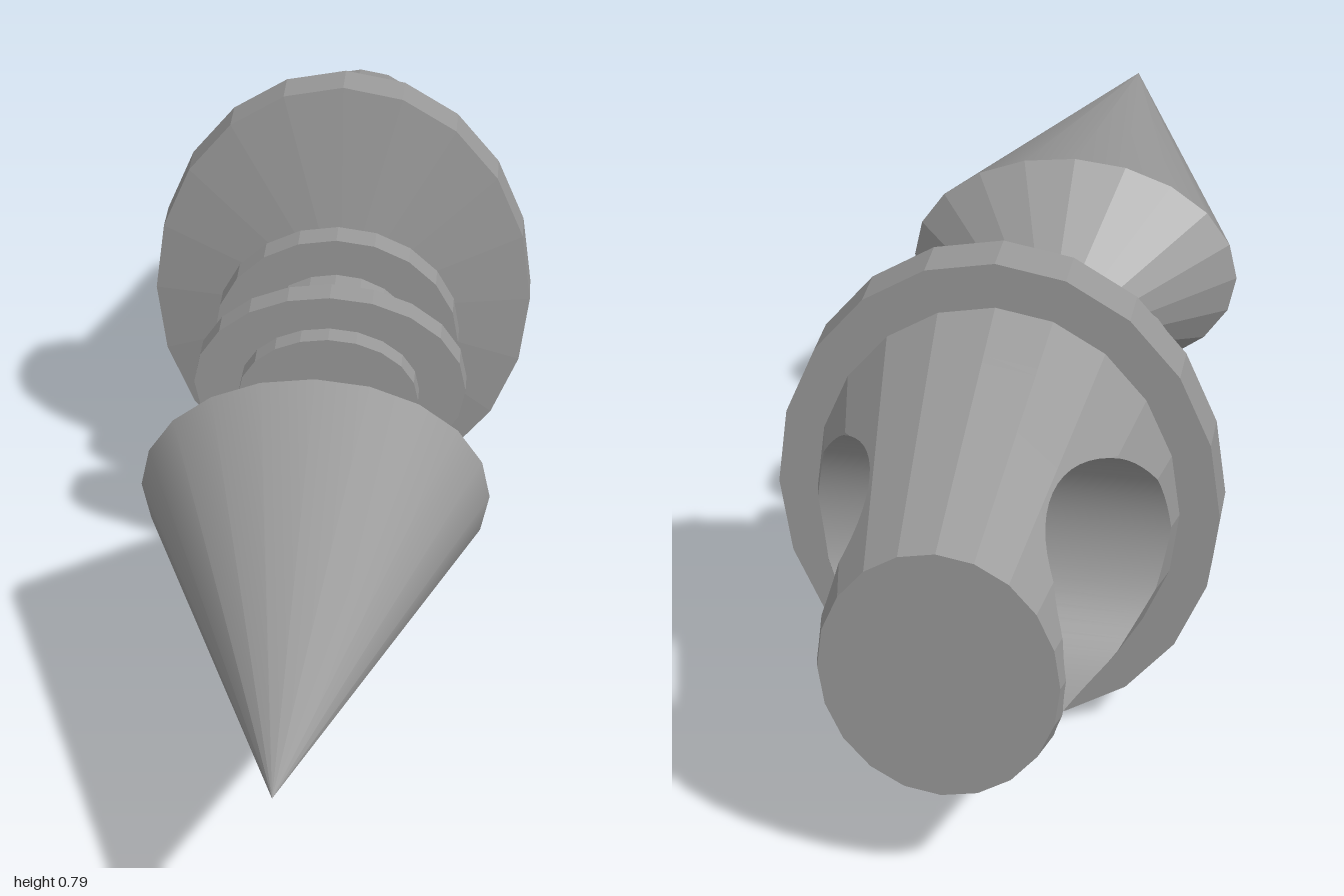
import * as THREE from 'three';

const SIDES = 20;
const AXIS_Y = 0.396;

export function createModel() {
  const group = new THREE.Group();
  const grey = new THREE.MeshStandardMaterial({ color: 0x999999 });
  grey.name = 'grey metal';

  const add = (name, geometry) => {
    const mesh = new THREE.Mesh(geometry, grey);
    mesh.name = name;
    mesh.position.y = AXIS_Y;
    group.add(mesh);
  };
  const flat = (geometry) => {
    const g = geometry.index ? geometry.toNonIndexed() : geometry;
    g.computeVertexNormals();
    return g;
  };

  // Elliptical section along z: ry0 at front z0, ry1 at back z1, widened by ratio in x
  const section = (name, z0, ry0, z1, ry1, ratio, smooth = false) => {
    const g = new THREE.CylinderGeometry(ry0, ry1, z0 - z1, SIDES, 1, ry0 === 0 || ry1 === 0);
    g.rotateX(Math.PI / 2);
    g.scale(ratio, 1, 1);
    g.translate(0, 0, (z0 + z1) / 2);
    add(name, smooth ? g : flat(g));
  };

  // Pointed head
  section('headPoint', 1, 0, 0.2, 0.202, 1.37, true);
  section('headBack', 0.2, 0.202, -0.1, 0, 1.37);

  // Stacked collars and necks
  section('frontCollar', -0.095, 0.11, -0.23, 0.11, 1.37);
  section('frontRing', -0.135, 0.167, -0.185, 0.167, 1.37);
  section('frontNeck', -0.23, 0.05, -0.265, 0.05, 1);
  section('rearCollar', -0.262, 0.125, -0.3, 0.125, 1.12);
  section('rearRing', -0.3, 0.19, -0.352, 0.19, 1.11);
  section('rearTaper', -0.352, 0.125, -0.397, 0.05, 1.12);
  section('rearNeck', -0.395, 0.05, -0.43, 0.05, 1);

  // Guard plate with a shallow conical front
  section('guardFront', -0.417, 0.05, -0.472, 0.396, 0.84);
  section('guardRim', -0.472, 0.396, -0.545, 0.396, 0.84);

  // Tapered grip pierced sideways by a round hole
  const zFront = -0.545, zBack = -1, holeZ = -0.78, holeR = 0.2, ratio = 0.84;
  const gripRy = (z) => THREE.MathUtils.mapLinear(z, zFront, zBack, 0.325, 0.2);
  const step = (2 * Math.PI) / SIDES;

  // Half width of the unit polygon at height h
  const unitX = (h) => {
    const i = Math.min(SIDES / 4 - 1, Math.floor(Math.asin(h) / step + 1e-6));
    const y0 = Math.sin(i * step), y1 = Math.sin((i + 1) * step);
    const t = (h - y0) / (y1 - y0);
    return THREE.MathUtils.lerp(Math.cos(i * step), Math.cos((i + 1) * step), t);
  };

  // Upper outline of the grip at z, cut off at the hole height
  const outline = (z, cut) => {
    const ry = gripRy(z), h = cut / ry, points = [];
    for (let k = 0; k <= SIDES / 2; k++) {
      const a = k * step;
      const side = k < SIDES / 4 ? 1 : -1;
      const p = Math.sin(a) < h ? [side * unitX(h), h] : [Math.cos(a), Math.sin(a)];
      points.push(new THREE.Vector3(p[0] * ry * ratio, p[1] * ry, z));
    }
    return points;
  };

  const ARC = 32;
  const rows = [outline(zFront, 0)];
  for (let j = 0; j <= ARC; j++) {
    const a = (j / ARC) * Math.PI;
    rows.push(outline(holeZ + holeR * Math.cos(a), Math.max(0, holeR * Math.sin(a) - 1e-9)));
  }
  rows.push(outline(zBack, 0));

  const triangles = [];
  const tri = (...t) => {
    if (new THREE.Triangle(...t).getArea() > 1e-9) triangles.push(...t);
  };
  for (let j = 0; j < rows.length - 1; j++) {
    for (let k = 0; k < SIDES / 2; k++) {
      const a = rows[j][k], b = rows[j][k + 1], c = rows[j + 1][k + 1], d = rows[j + 1][k];
      tri(a, d, c);
      tri(a, c, b);
    }
  }
  const upper = flat(new THREE.BufferGeometry().setFromPoints(triangles));
  add('gripUpper', upper);
  add('gripLower', upper.clone().rotateZ(Math.PI));

  // Wall of the hole, trimmed to the grip surface
  const position = [], normal = [], index = [];
  for (let j = 0; j <= 2 * ARC; j++) {
    const a = (j / ARC) * Math.PI;
    const y = holeR * Math.sin(a), z = holeZ + holeR * Math.cos(a);
    const ry = gripRy(z), x = unitX(Math.abs(y) / ry) * ry * ratio;
    position.push(-x, y, z, x, y, z);
    for (let s = 0; s < 2; s++) normal.push(0, -Math.sin(a), -Math.cos(a));
    const n = 2 * j;
    if (j < 2 * ARC) index.push(n, n + 2, n + 3, n, n + 3, n + 1);
  }
  const wall = new THREE.BufferGeometry();
  wall.setAttribute('position', new THREE.Float32BufferAttribute(position, 3));
  wall.setAttribute('normal', new THREE.Float32BufferAttribute(normal, 3));
  wall.setIndex(index);
  add('gripHole', wall);

  // Flat end of the grip
  const cap = new THREE.CircleGeometry(0.2, SIDES);
  cap.rotateY(Math.PI);
  cap.scale(ratio, 1, 1);
  cap.translate(0, 0, zBack);
  add('gripEnd', cap);

  return group;
}
